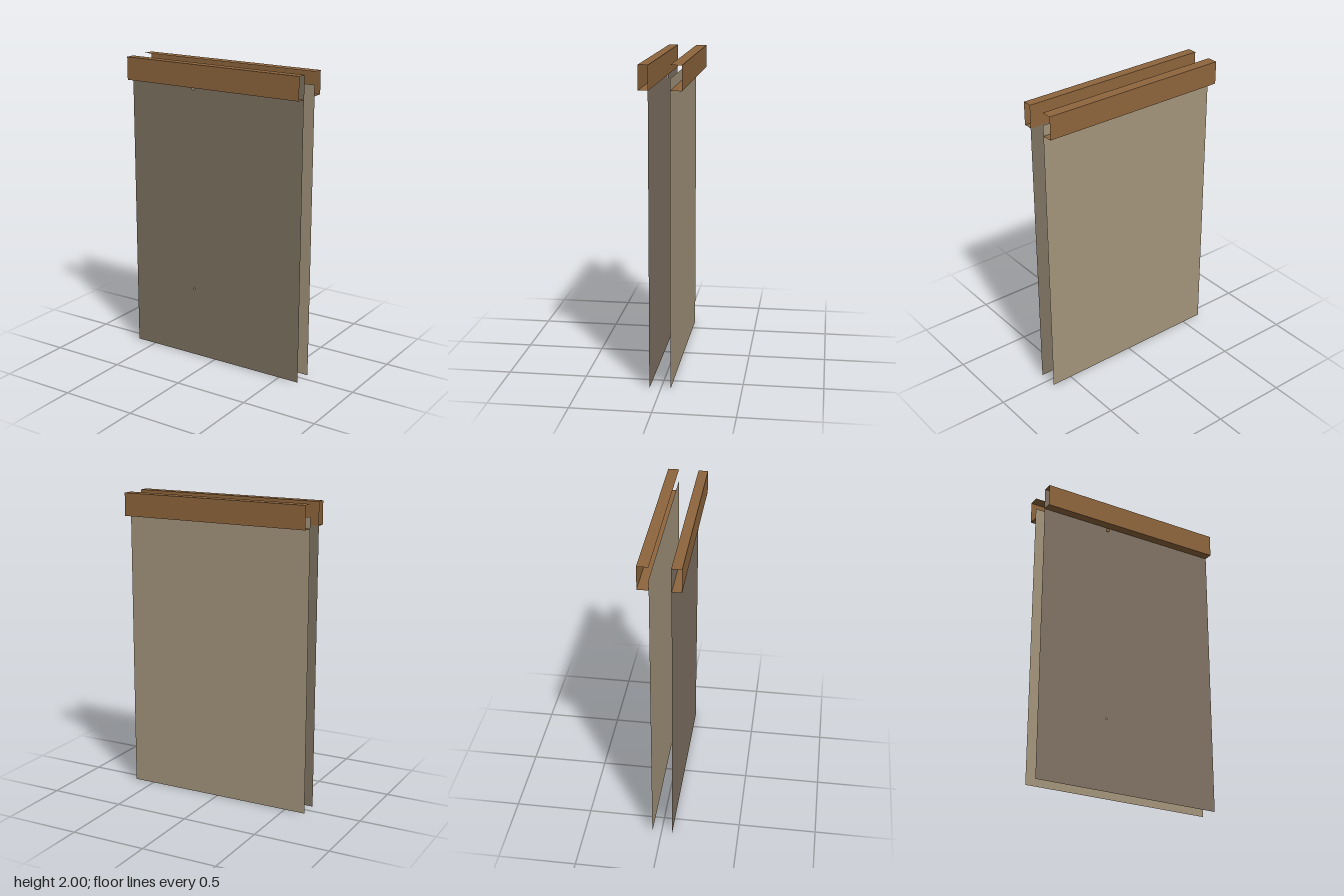
import * as THREE from 'three';

const W = 1.28, TOP = 2, RAIL_BOTTOM = 1.85;

export function createModel() {
  const group = new THREE.Group();
  group.name = 'rollerBlind';

  const material = (name, color) =>
    new THREE.MeshStandardMaterial({ name, color, side: THREE.DoubleSide });
  const wood = material('wood brown', 0x8e653c);
  const frontCloth = material('grey linen', 0x807363);
  const backCloth = material('light linen', 0xa4957b);

  const add = (name, geometry, mat, x, y, z, rotX = 0) => {
    const mesh = new THREE.Mesh(geometry, mat);
    mesh.name = name;
    mesh.position.set(x, y, z);
    mesh.rotation.x = rotX;
    group.add(mesh);
  };

  // Thin boards of a head rail, open at both ends
  const wall = (name, z) =>
    add(name, new THREE.PlaneGeometry(W, TOP - RAIL_BOTTOM), wood, 0, (TOP + RAIL_BOTTOM) / 2, z);
  const shelf = (name, y, z0, z1) =>
    add(name, new THREE.PlaneGeometry(W, z1 - z0), wood, 0, y, (z0 + z1) / 2, -Math.PI / 2);

  // Front rail: closed on the inner side
  wall('frontRailFace', 0.13);
  wall('frontRailInnerFace', 0.068);
  shelf('frontRailTop', TOP, 0.068, 0.13);
  shelf('frontRailBottom', RAIL_BOTTOM, 0.068, 0.13);

  // Back rail: open toward the middle
  wall('backRailFace', -0.13);
  shelf('backRailTop', TOP, -0.13, -0.06);
  shelf('backRailBottom', RAIL_BOTTOM, -0.13, -0.06);

  // Front sheet with two tiny square eyelets
  const rectangle = (Type, x0, y0, x1, y1) => {
    const path = new Type();
    path.moveTo(x0, y0).lineTo(x1, y0).lineTo(x1, y1).lineTo(x0, y1).closePath();
    return path;
  };
  const sheet = rectangle(THREE.Shape, -W / 2, 0, W / 2, TOP - 0.003);
  for (const [y, r] of [[1.835, 0.01], [0.475, 0.005]]) {
    sheet.holes.push(rectangle(THREE.Path, -0.163 - r, y - r, -0.163 + r, y + r));
  }
  add('frontSheet', new THREE.ShapeGeometry(sheet), frontCloth, 0, 0, 0.071);

  // Back sheet, ending halfway up inside its rail
  add('backSheet', new THREE.PlaneGeometry(W, 1.92), backCloth, 0, 0.96, -0.06);

  return group;
}
